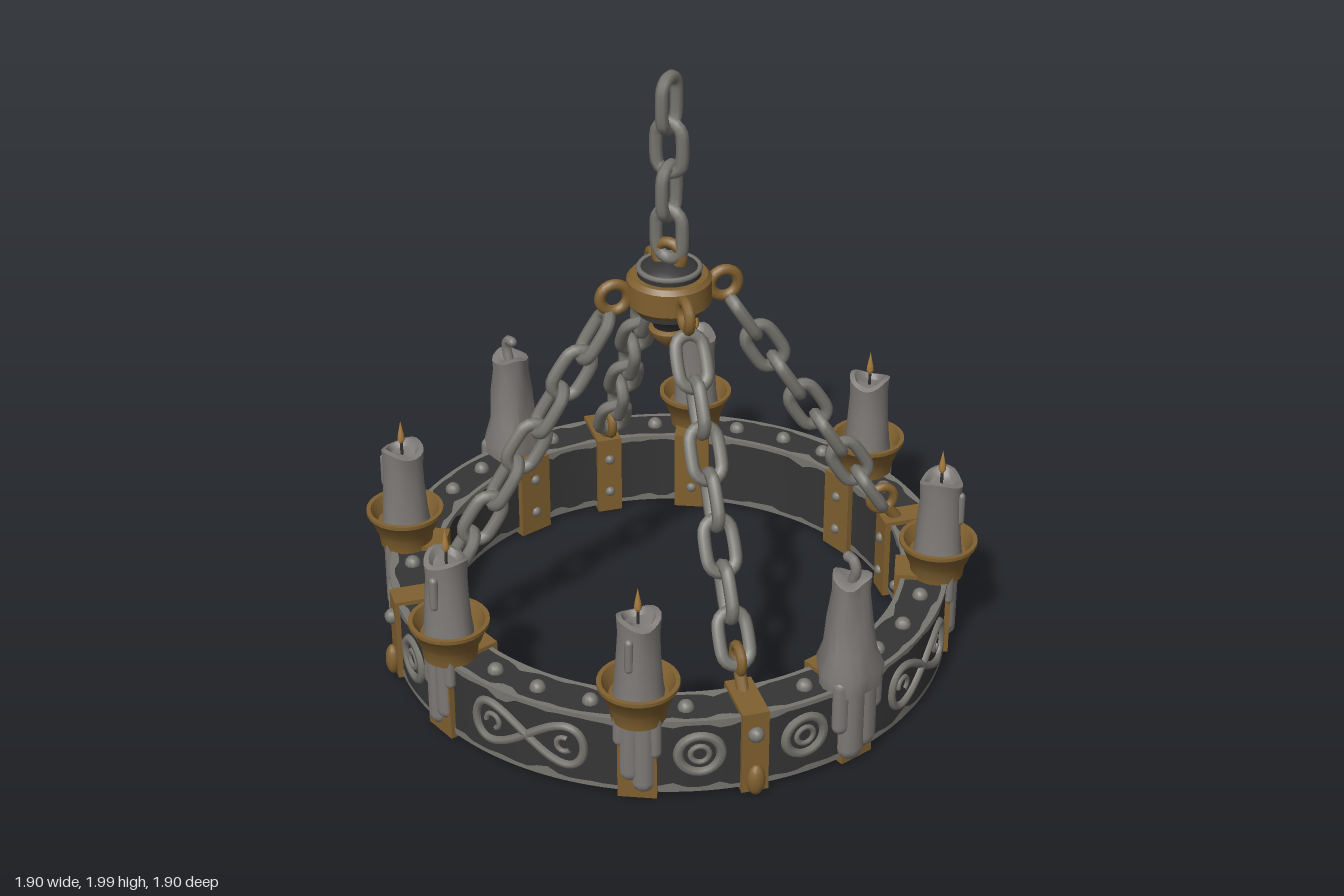
import * as THREE from 'three';
import { toCreasedNormals } from 'three/addons/utils/BufferGeometryUtils.js';

const V2 = (x, y) => new THREE.Vector2(x, y);
const V3 = (x, y, z) => new THREE.Vector3(x, y, z);
const DEG = Math.PI / 180;

function material(name, color) {
  const m = new THREE.MeshStandardMaterial({ color });
  m.name = name;
  return m;
}

function add(parent, name, geo, mat, x = 0, y = 0, z = 0) {
  const mesh = new THREE.Mesh(geo, mat);
  mesh.name = name;
  mesh.position.set(x, y, z);
  parent.add(mesh);
  return mesh;
}

// Group turned about the centre: its +z points outward, its +x along the ring
function spoke(parent, name, degrees) {
  const g = new THREE.Group();
  g.name = name;
  g.rotation.y = degrees * DEG;
  parent.add(g);
  return g;
}

const lathe = (pts, seg = 24) =>
  toCreasedNormals(new THREE.LatheGeometry(pts.map(p => V2(...p)), seg), 0.7);

// Oval chain link standing along y, flat in the xy plane
function linkGeometry() {
  const pts = [];
  for (let i = 0; i < 16; i++) {
    const t = i / 16 * Math.PI * 2;
    pts.push(V3(0.045 * Math.cos(t), 0.045 * Math.sin(t) + (Math.sin(t) >= 0 ? 0.038 : -0.038), 0));
  }
  return new THREE.TubeGeometry(new THREE.CatmullRomCurve3(pts, true), 28, 0.021, 7, true);
}

// Lumpy wax body: a lathe with wavering radius and a sagging rim
function waxGeometry(profile, seed, lump) {
  const geo = new THREE.LatheGeometry(profile.map(p => V2(...p)), 20);
  const pos = geo.attributes.position;
  const top = Math.max(...profile.map(p => p[1]));
  for (let i = 0; i < pos.count; i++) {
    const x = pos.getX(i), y = pos.getY(i), z = pos.getZ(i);
    const a = Math.atan2(z, x), r = Math.hypot(x, z);
    const k = 1 + lump * (Math.sin(3 * a + seed) + 0.7 * Math.sin(5 * a + seed * 2 + y * 14));
    const sag = y > top - 0.08 ? 0.2 * r * Math.sin(2 * a + seed) : 0;
    pos.setXYZ(i, x * k, y + sag, z * k);
  }
  return toCreasedNormals(geo, 0.8);
}

// Worn bright metal along a ring edge, with a ragged width on both faces
function wornEdge(r, y, inward, down, seed) {
  const n = 160, pos = [], idx = [];
  for (let i = 0; i <= n; i++) {
    const a = i / n * Math.PI * 2;
    const wave = Math.sin(9 * a + seed) * Math.sin(23 * a + seed * 3) + 0.5 * Math.sin(41 * a);
    const w = 0.012 + 0.016 * Math.max(0, wave);
    const e = 0.003;
    const section = [[r - inward * w, y + down * e], [r + inward * e, y + down * e], [r + inward * e, y - down * w]];
    for (const [q, h] of section) pos.push(q * Math.sin(a), h, q * Math.cos(a));
    if (i < n) for (let j = 0; j < 2; j++) {
      const p = i * 3 + j;
      idx.push(p, p + 1, p + 3, p + 1, p + 4, p + 3);
    }
  }
  const geo = new THREE.BufferGeometry();
  geo.setAttribute('position', new THREE.Float32BufferAttribute(pos, 3));
  geo.setIndex(idx);
  return toCreasedNormals(geo, 0.6);
}

// Rectangular strap that wraps the ring section
function strapGeometry(width) {
  const s = new THREE.Shape([V2(0.735, 0.012), V2(0.92, 0.012), V2(0.92, 0.3), V2(0.735, 0.3)]);
  s.holes.push(new THREE.Path([V2(0.755, 0.03), V2(0.755, 0.28), V2(0.9, 0.28), V2(0.9, 0.03)]));
  const geo = new THREE.ExtrudeGeometry(s, { depth: width, bevelEnabled: false });
  return geo.translate(0, 0, -width / 2).rotateY(-Math.PI / 2);
}

export function createModel() {
  const root = new THREE.Group();
  root.name = 'candleChandelier';
  const dark = material('blackened iron', 0x353535);
  const iron = material('worn iron', 0x77756f);
  const gold = material('aged brass', 0x80602f);
  const wax = material('grey wax', 0x7d7976);
  const flameMat = material('flame', 0xa67a3c);
  const worn = iron.clone();
  worn.name = 'worn edge iron';
  worn.side = THREE.DoubleSide;

  // Main ring with worn edges
  add(root, 'ring', lathe([[0.76, 0.03], [0.905, 0.03], [0.905, 0.285], [0.76, 0.285], [0.76, 0.03]], 80), dark);
  [[0.905, 0.285, 1, 1], [0.905, 0.03, 1, -1], [0.76, 0.285, -1, 1], [0.76, 0.03, -1, -1]]
    .forEach(([r, y, inward, down], i) => add(root, 'wornEdge', wornEdge(r, y, inward, down, i * 1.7), worn));

  const rivet = new THREE.SphereGeometry(0.026, 10, 8);
  const link = linkGeometry();
  const narrowStrap = strapGeometry(0.085), wideStrap = strapGeometry(0.12);

  // Hub
  add(root, 'hubBand', lathe([[0, 1.22], [0.12, 1.22], [0.133, 1.235], [0.133, 1.31], [0.12, 1.325], [0.1, 1.325]], 28), gold);
  add(root, 'hubCap', lathe([[0.1, 1.32], [0.1, 1.34], [0.075, 1.36], [0, 1.365]]), dark);
  add(root, 'hubCapRim', new THREE.TorusGeometry(0.095, 0.009, 6, 28).rotateX(Math.PI / 2), iron, 0, 1.345, 0);
  add(root, 'hubNeck', lathe([[0, 1.13], [0.045, 1.13], [0.06, 1.17], [0.1, 1.195], [0.1, 1.225]]), dark);
  add(root, 'hubFinial', lathe([[0, 1.06], [0.025, 1.08], [0.06, 1.115], [0.065, 1.135], [0.04, 1.15], [0, 1.15]]), gold);

  // Hanging chain
  const loop = new THREE.TorusGeometry(0.045, 0.018, 8, 20);
  add(root, 'topLoop', loop, gold, 0, 1.385, 0).rotation.y = -45 * DEG;
  for (let i = 0; i < 4; i++) {
    add(root, 'topChainLink', link, iron, 0, 1.895 - 0.145 * i, 0).rotation.y = (i % 2 ? -45 : 45) * DEG;
  }

  // Four quarters: straps, chains, reliefs and rivets
  for (let q = 0; q < 4; q++) {
    const arm = spoke(root, 'chainArm', q * 90);
    add(arm, 'strap', narrowStrap, gold);
    add(arm, 'strapRivet', rivet, iron, 0, 0.225, 0.922);
    for (const y of [0.09, 0.22]) add(arm, 'innerRivet', rivet, iron, 0, y, 0.738).scale.setScalar(0.7);
    add(arm, 'strapTip', new THREE.SphereGeometry(0.03, 12, 10), gold, 0, 0.06, 0.928).scale.set(1, 1.8, 0.8);
    add(arm, 'hubLoop', loop, gold, 0, 1.265, 0.178).rotation.y = Math.PI / 2;
    const eye = add(arm, 'ringEye', new THREE.TorusGeometry(0.042, 0.016, 8, 18), gold, 0, 0.375, 0.735);
    eye.rotation.y = Math.PI / 2;
    const stem = new THREE.LineCurve3(V3(0, 0.34, 0.755), V3(0, 0.28, 0.795));
    add(arm, 'eyeStem', new THREE.TubeGeometry(stem, 1, 0.02, 8), gold);

    const dir = V3(0, -0.72, 0.45).normalize();
    for (let i = 0; i < 7; i++) {
      const l = add(arm, 'chainLink', link, iron, 0, 1.14 - 0.12 * i, 0.24 + 0.075 * i);
      l.quaternion.setFromUnitVectors(V3(0, 1, 0), dir);
      if (i % 2) l.rotateY(Math.PI / 2);
    }

    // Round medallions beside each strap
    for (const s of [-1, 1]) {
      const m = spoke(root, 'medallion', q * 90 + s * 10.6);
      add(m, 'medallionRing', new THREE.TorusGeometry(0.066, 0.016, 6, 24), iron, 0, 0.165, 0.903);
      add(m, 'medallionInnerRing', new THREE.TorusGeometry(0.029, 0.009, 6, 16), iron, 0, 0.165, 0.906);
    }

    // Figure-eight scroll following the curve of the ring
    const pts = [];
    for (let i = 0; i < 40; i++) {
      const t = i / 40 * Math.PI * 2;
      const a = (q * 90 + 45) * DEG + 0.19 * Math.cos(t) / 0.905;
      pts.push(V3(0.907 * Math.sin(a), 0.16 + 0.07 * Math.sin(2 * t), 0.907 * Math.cos(a)));
    }
    add(root, 'scroll', new THREE.TubeGeometry(new THREE.CatmullRomCurve3(pts, true), 90, 0.014, 6, true), iron);
    for (const s of [-1, 1]) {
      const c = spoke(root, 'scrollCurl', q * 90 + 45 + s * 8);
      add(c, 'curl', new THREE.TorusGeometry(0.025, 0.009, 6, 14, 4.5), iron, 0, 0.16, 0.905).rotation.z = s * 1.2;
    }

    // Rivets on top of the ring
    for (const a of [13, 34, 45, 57, 77]) {
      add(spoke(root, 'topRivet', q * 90 + a), 'rivet', rivet, iron, 0, 0.288, 0.835);
    }
  }

  // Eight candles
  const cup = lathe([[0, 0.285], [0.085, 0.285], [0.09, 0.33], [0.1, 0.345], [0.118, 0.395], [0.126, 0.4],
    [0.126, 0.412], [0.112, 0.412], [0.09, 0.365], [0, 0.36]], 28);
  const drips = [[-0.05, 0.16, 0.024], [-0.018, 0.035, 0.036], [0.022, 0.075, 0.033], [0.052, 0.2, 0.022]];
  const flame = lathe([[0, 0], [0.012, 0.02], [0.01, 0.04], [0.004, 0.07], [0, 0.09]], 10);
  for (let i = 0; i < 8; i++) {
    const melted = i % 4 === 0 && true;
    const c = spoke(root, melted ? 'meltedCandle' : 'candle', 22.5 + i * 45);
    add(c, 'strap', wideStrap, gold);
    for (const y of [0.09, 0.22]) add(c, 'innerRivet', rivet, iron, 0, y, 0.738).scale.setScalar(0.7);

    // Wax running down the outside of the ring
    const flip = i % 2 ? -1 : 1, size = melted ? 1.3 : 1;
    for (const [x, low, r] of drips) {
      const bottom = melted ? Math.max(0.02, low - 0.03) : low, top = 0.335;
      const geo = new THREE.CapsuleGeometry(r * size, top - bottom - 2 * r * size, 5, 10);
      add(c, 'waxDrip', geo, wax, x * flip * size, (top + bottom) / 2, 0.912).scale.z = 0.8;
    }

    if (melted) {
      const body = [[0.095, 0.27], [0.1, 0.33], [0.078, 0.4], [0.07, 0.5], [0.058, 0.6], [0.06, 0.65], [0.04, 0.655], [0, 0.635]];
      add(c, 'waxBody', waxGeometry(body, i, 0.08), wax, 0, 0, 0.865);
      const bend = new THREE.CatmullRomCurve3([V3(0, 0.63, 0.87), V3(0, 0.69, 0.885), V3(0, 0.715, 0.87), V3(0, 0.715, 0.85)]);
      add(c, 'waxCurl', new THREE.TubeGeometry(bend, 10, 0.017, 7), wax);
      add(c, 'waxCurlTip', new THREE.SphereGeometry(0.017, 8, 6), wax, 0, 0.715, 0.85);
    } else {
      add(c, 'cup', cup, gold, 0, 0, 0.87);
      const body = [[0.08, 0.355], [0.074, 0.4], [0.068, 0.5], [0.064, 0.58], [0.068, 0.635], [0.052, 0.64], [0.04, 0.62], [0, 0.615]];
      add(c, 'waxBody', waxGeometry(body, i * 1.3, 0.035), wax, 0, 0, 0.87);
      add(c, 'sideDrip', new THREE.CapsuleGeometry(0.014, 0.09, 4, 8), wax, 0.02 * flip, 0.54, 0.934);
      add(c, 'wick', new THREE.CylinderGeometry(0.005, 0.005, 0.05, 6), dark, 0, 0.635, 0.87);
      add(c, 'flame', flame, flameMat, 0, 0.65, 0.87);
    }
  }
  return root;
}
